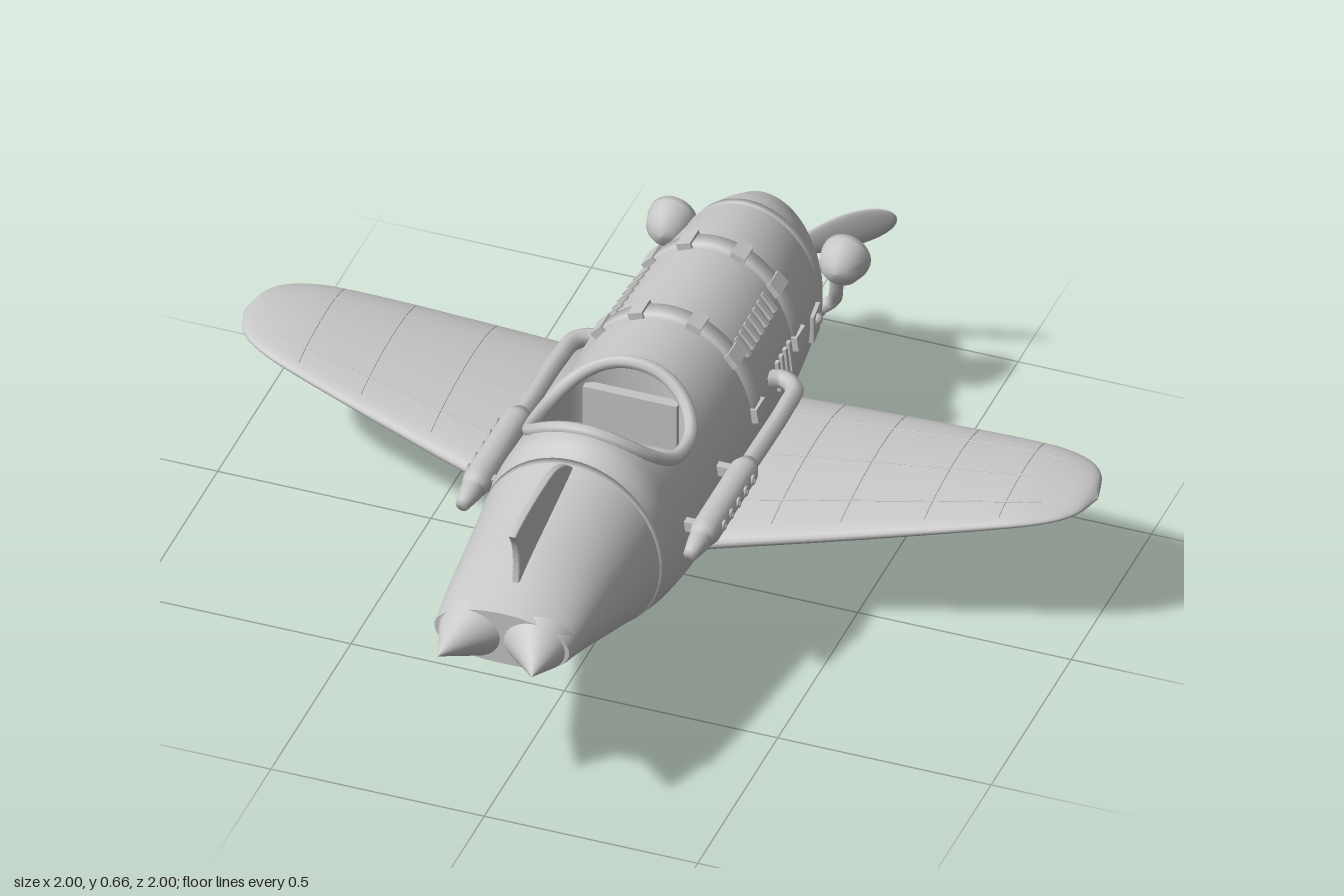
import * as THREE from 'three';
import { mergeVertices } from 'three/addons/utils/BufferGeometryUtils.js';

const metal = new THREE.MeshStandardMaterial({ color: 0xc6c6c6, side: THREE.DoubleSide });
metal.name = 'grey metal';

// Body stations: z, half width, top, bottom, height of widest point
const BODY = [
  [-0.77, 0.118, 0.51, 0.105, 0.31], [-0.72, 0.147, 0.535, 0.09, 0.32], [-0.65, 0.165, 0.55, 0.08, 0.325],
  [-0.45, 0.19, 0.57, 0.066, 0.33], [-0.2, 0.203, 0.577, 0.057, 0.335], [0.05, 0.213, 0.585, 0.06, 0.335],
  [0.2, 0.22, 0.6, 0.085, 0.34], [0.33, 0.22, 0.615, 0.118, 0.345], [0.4, 0.218, 0.62, 0.143, 0.35],
  [0.46, 0.211, 0.59, 0.165, 0.36], [0.6, 0.195, 0.555, 0.222, 0.375], [0.75, 0.177, 0.52, 0.284, 0.395],
  [0.89, 0.158, 0.474, 0.34, 0.406],
];
// Wing stations: x, leading z, trailing z, top, bottom
const WING = [
  [0.1, -0.44, 0.19, 0.265, 0.12], [0.2, -0.42, 0.16, 0.28, 0.14], [0.5, -0.38, 0.085, 0.315, 0.2],
  [0.83, -0.328, -0.005, 0.348, 0.272], [0.93, -0.295, -0.05, 0.348, 0.293], [0.98, -0.245, -0.1, 0.34, 0.308],
  [1, -0.17, -0.165, 0.325, 0.32],
];

// Smooth lookup in a station table
function lookup(table, s) {
  let i = 0;
  while (i < table.length - 2 && s > table[i + 1][0]) i++;
  const a = table[i], b = table[i + 1], h = b[0] - a[0];
  const t = THREE.MathUtils.clamp((s - a[0]) / h, 0, 1);
  const p = table[Math.max(i - 1, 0)], n = table[Math.min(i + 2, table.length - 1)];
  return a.map((_, k) => {
    const m0 = (b[k] - p[k]) / (b[0] - p[0]) * h, m1 = (n[k] - a[k]) / (n[0] - a[0]) * h;
    const t2 = t * t, t3 = t2 * t;
    return (2 * t3 - 3 * t2 + 1) * a[k] + (t3 - 2 * t2 + t) * m0 + (3 * t2 - 2 * t3) * b[k] + (t3 - t2) * m1;
  });
}

// Point on the body at station z and angle t (0 = side, PI/2 = top); the belly is squarer than the top
function bodyPoint(z, t, scale = 1, dz = 0) {
  const [, w, top, bot, mid] = lookup(BODY, z), s = Math.sin(t), c = Math.cos(t);
  const y = mid + (s > 0 ? top - mid : mid - bot) * s * scale;
  const x = w * Math.sign(c) * Math.abs(c) ** (s > 0 ? 1 : 0.75) * scale;
  const lean = THREE.MathUtils.smoothstep(-z, 0.5, 0.75) * 0.15;
  return new THREE.Vector3(x, y, z + dz + lean * (y - 0.31));
}

function wingPoint(x, t) {
  const [, lead, trail, top, bot] = lookup(WING, x);
  const s = (1 - Math.cos(t)) / 2, mid = (top + bot) / 2;
  const y = mid + ((top - bot) / 2) * Math.sin(t) * (1.15 - 0.4 * s);
  return new THREE.Vector3(x, y, lead + (trail - lead) * s);
}

// Surface from a grid of points f(u, v), with an optional test that leaves faces out
function grid(f, nu, nv, skip) {
  const pts = [], index = [];
  for (let i = 0; i <= nu; i++) for (let j = 0; j <= nv; j++) pts.push(f(i / nu, j / nv));
  for (let i = 0; i < nu; i++) for (let j = 0; j < nv; j++) {
    const a = i * (nv + 1) + j, b = a + nv + 1;
    if (skip && skip(pts[a].clone().add(pts[b + 1]).multiplyScalar(0.5))) continue;
    index.push(a, b, b + 1, a, b + 1, a + 1);
  }
  const g = new THREE.BufferGeometry().setFromPoints(pts);
  g.setIndex(index);
  const merged = mergeVertices(g, 1e-5);
  merged.computeVertexNormals();
  return merged;
}

function add(parent, name, geometry, pos = [0, 0, 0], rot = [0, 0, 0], scale = [1, 1, 1]) {
  const m = new THREE.Mesh(geometry, metal);
  m.name = name;
  m.position.set(...pos);
  m.rotation.set(...rot);
  m.scale.set(...scale);
  parent.add(m);
  return m;
}

const tube = (pts, r, n = 24, closed = false) => new THREE.TubeGeometry(
  new THREE.CatmullRomCurve3(pts.map(p => (p.isVector3 ? p : new THREE.Vector3(...p))), closed), n, r, 8, closed);
const steps = (a, b, n) => Array.from({ length: n + 1 }, (_, i) => a + (b - a) * i / n);

// Raised strap around the body between two angles
function band(z, width, lift, t0, t1) {
  return grid((u, v) => {
    const k = Math.round(u * 3), zz = z + (k < 2 ? -1 : 1) * width / 2;
    return bodyPoint(zz, t1 + (t0 - t1) * v, 1 + (k === 1 || k === 2 ? lift : -0.02) / 0.2);
  }, 3, 64);
}

// Cockpit outline: rounded rectangle seen from above, lying on the body
const PIT = { z: 0.215, x: 0.172, d: 0.162 };
function pitEdge(a) {
  const e = v => Math.sign(v) * Math.abs(v) ** 0.8;
  const x = PIT.x * e(Math.cos(a)), z = PIT.z + PIT.d * e(Math.sin(a));
  const [, w, top, , mid] = lookup(BODY, z);
  return new THREE.Vector3(x, mid + (top - mid) * Math.sqrt(1 - (x / w) ** 2), z);
}
const inPit = p => p.y > 0.4 && Math.abs(p.x / PIT.x) ** 2.5 + Math.abs((p.z - PIT.z) / PIT.d) ** 2.5 < 1;

// Everything that exists once per side, built on +x
function buildSide(s) {
  const g = new THREE.Group();
  g.name = s > 0 ? 'leftSide' : 'rightSide';
  g.scale.x = s;

  add(g, 'wing', grid((u, v) => wingPoint(0.1 + 0.9 * Math.sin(u * Math.PI / 2), v * Math.PI * 2), 40, 48));
  // Faint wing panel seams, along the span and across the chord
  for (const t of [1.0, 1.6, 2.2])
    add(g, 'spanSeam', tube(steps(0.22, 0.9, 12).map(x => wingPoint(x, t)), 0.0018, 30));
  for (const x of [0.33, 0.48, 0.66, 0.82])
    add(g, 'chordSeam', tube(steps(0.5, 2.6, 12).map(t => wingPoint(x, t)), 0.0018, 30));

  // Exhaust: thin bent pipe, perforated silencer and nozzle
  add(g, 'exhaustPipe', tube([[0.17, 0.375, -0.25], [0.22, 0.375, -0.275], [0.257, 0.375, -0.25],
    [0.265, 0.377, -0.18], [0.266, 0.38, 0], [0.266, 0.385, 0.12]], 0.021, 40));
  const silencer = [[0, 0], [0.022, 0], [0.033, 0.03], [0.034, 0.27], [0.028, 0.295], [0.018, 0.3], [0.026, 0.31],
    [0.016, 0.365], [0, 0.365]].map(p => new THREE.Vector2(...p));
  add(g, 'silencer', new THREE.LatheGeometry(silencer, 20), [0.267, 0.385, 0.06], [Math.PI / 2, 0, 0]);
  for (let i = 0; i < 5; i++)
    add(g, 'silencerHole', new THREE.TorusGeometry(0.009, 0.004, 6, 12), [0.3, 0.39, 0.12 + i * 0.045], [0, Math.PI / 2, 0]);
  for (const z of [0.1, 0.32]) add(g, 'silencerBracket', new THREE.BoxGeometry(0.06, 0.025, 0.02), [0.225, 0.385, z]);

  // Headlamp with its curved stalk
  const bowl = [[0, 0.08], [0.028, 0.073], [0.047, 0.05], [0.056, 0.015], [0.056, 0], [0.047, 0], [0.037, 0.008], [0, 0.012]];
  add(g, 'headlamp', new THREE.LatheGeometry(bowl.map(p => new THREE.Vector2(...p)), 24), [0.203, 0.4, -0.725], [Math.PI / 2, 0, 0]);
  add(g, 'headlampStalk', tube([[0.19, 0.38, -0.69], [0.185, 0.32, -0.705], [0.165, 0.26, -0.735], [0.135, 0.235, -0.73]], 0.016));

  // Cooling louvres, placed on the skin
  const louvre = (z, t, h) => add(g, 'louvre', new THREE.BoxGeometry(0.014, h, 0.013), bodyPoint(z, t).toArray(), [0, 0, t]);
  for (let i = 0; i < 7; i++) louvre(-0.2 - i * 0.03, 0.72, 0.05);
  for (let i = 0; i < 4; i++) louvre(-0.305 - i * 0.027, 0.1, 0.075);
  add(g, 'servicePanel', new THREE.BoxGeometry(0.018, 0.07, 0.06), bodyPoint(-0.59, -0.1).toArray(), [0, 0.12, 0]);
  add(g, 'servicePanelKnob', new THREE.SphereGeometry(0.014, 12, 8), bodyPoint(-0.59, -0.05, 1.05).toArray());

  // Strap buckles and ends
  for (const z of [-0.15, -0.44]) for (const t of [0.15, 0.75, 1.25])
    add(g, 'buckle', new THREE.BoxGeometry(0.022, 0.035, 0.054), bodyPoint(z, t, 1.025).toArray(), [0, 0, t]);

  // Pointed tail lobe, meeting its twin on the centre line
  add(g, 'tailCone', new THREE.ConeGeometry(0.08, 0.13, 32), [0.096, 0.404, 0.935], [Math.PI / 2, 0, -0.22], [1, 1, 0.87]);
  return g;
}

// Propeller blade from the hub to a tip, with its broad side along `wide`
function blade(parent, tip, wide) {
  const hub = new THREE.Vector3(0, 0.265, -0.845), end = new THREE.Vector3(...tip);
  const y = end.clone().sub(hub), len = y.length();
  y.normalize();
  const z = new THREE.Vector3(...wide).cross(y).normalize(), x = y.clone().cross(z);
  const geo = new THREE.SphereGeometry(1, 24, 20);
  const p = geo.attributes.position;
  for (let i = 0; i < p.count; i++) { // broader towards the tip
    const k = 0.85 + 0.25 * p.getY(i);
    p.setXYZ(i, p.getX(i) * 0.057 * k, len * (0.54 + 0.46 * p.getY(i)), p.getZ(i) * 0.009);
  }
  geo.computeVertexNormals();
  geo.applyMatrix4(new THREE.Matrix4().makeBasis(x, y, z));
  add(parent, 'propellerBlade', geo, hub.toArray());
  add(parent, 'bladeRoot', tube([hub, hub.clone().addScaledVector(y, len * 0.28)], 0.015, 2));
}

export function createModel() {
  const model = new THREE.Group();
  model.name = 'aeroplane';
  const full = Math.PI * 2;

  // Body shell with the cockpit opening left out
  add(model, 'fuselage', grid((u, v) => bodyPoint(-0.77 + 1.66 * u, -Math.PI / 2 - full * v), 140, 128, inPit));
  add(model, 'tailCap', grid((u, v) => bodyPoint(0.89, -full * v, 1 - u), 2, 40));

  // Cockpit lining, rim, reclined seat and dashboard
  add(model, 'cockpitLining', grid((u, v) => {
    const p = pitEdge(full * v);
    const k = Math.max(0, u * 2 - 1);
    p.y = THREE.MathUtils.lerp(p.y, 0.33, Math.min(1, u * 2));
    return p.set(p.x * (1 - k), p.y, PIT.z + (p.z - PIT.z) * (1 - k));
  }, 8, 64));
  const rim = steps(0, full, 48).slice(0, -1).map(pitEdge);
  add(model, 'cockpitRim', tube(rim, 0.016, 96, true));
  const seat = new THREE.CatmullRomCurve3([[0.36, 0.56], [0.335, 0.46], [0.28, 0.39], [0.18, 0.37], [0.12, 0.33]]
    .map(([z, y]) => new THREE.Vector3(0, y, z)));
  add(model, 'seat', grid((u, v) => {
    const p = seat.getPoint(u);
    p.x = (v - 0.5) * 0.27;
    p.y += 0.004 * Math.cos(v * full * 6);
    return p;
  }, 16, 48));
  add(model, 'dashboard', new THREE.BoxGeometry(0.22, 0.12, 0.025), [0, 0.46, 0.08]);

  // Straps, cowl lip and body seams
  for (const z of [-0.15, -0.44]) add(model, 'strap', band(z, 0.042, 0.009, 0.05, Math.PI - 0.05));
  add(model, 'cowlLip', band(-0.665, 0.025, 0.004, -0.5, Math.PI + 0.5));
  add(model, 'tailSeam', band(0.46, 0.012, 0.002, 0, full));

  // Radiator: recessed face with upright bars
  const ring = [[1, 0], [0.92, -0.012], [0.84, -0.006], [0.82, 0.025], [0, 0.025]];
  add(model, 'radiatorFrame', grid((u, v) => bodyPoint(-0.77, full * v, ...ring[Math.round(u * 4)]), 4, 48));
  for (let i = -4; i <= 4; i++) {
    const x = i * 0.02, h = 0.34 * Math.sqrt(1 - (x / 0.108) ** 2);
    add(model, 'radiatorBar', new THREE.BoxGeometry(0.01, h, 0.03), [x, 0.31, -0.757], [0.15, 0, 0]);
  }

  // Propeller
  const hub = [[0, 0], [0.05, 0], [0.05, 0.03], [0.04, 0.035], [0.046, 0.06], [0.04, 0.09], [0.022, 0.112], [0, 0.12]];
  add(model, 'propellerHub', new THREE.LatheGeometry(hub.map(p => new THREE.Vector2(...p)), 24), [0, 0.265, -0.775], [-Math.PI / 2, 0, 0]);
  blade(model, [0.272, 0.455, -0.835], [-0.6, 0.8, 0.35]);
  blade(model, [0.02, 0.0, -0.998], [1, 0, 0]);

  // Tail fin
  const fin = new THREE.Shape();
  fin.moveTo(0.44, 0.55);
  fin.quadraticCurveTo(0.52, 0.65, 0.62, 0.65);
  fin.quadraticCurveTo(0.74, 0.655, 0.824, 0.638);
  fin.quadraticCurveTo(0.78, 0.58, 0.81, 0.47);
  fin.lineTo(0.44, 0.5);
  const finGeo = new THREE.ExtrudeGeometry(fin, { depth: 0.01, bevelEnabled: true, bevelSize: 0.004, bevelThickness: 0.004, bevelSegments: 2, curveSegments: 12 });
  finGeo.translate(0, 0, -0.005);
  finGeo.rotateY(-Math.PI / 2);
  add(model, 'tailFin', finGeo);

  model.add(buildSide(1), buildSide(-1));
  return model;
}
